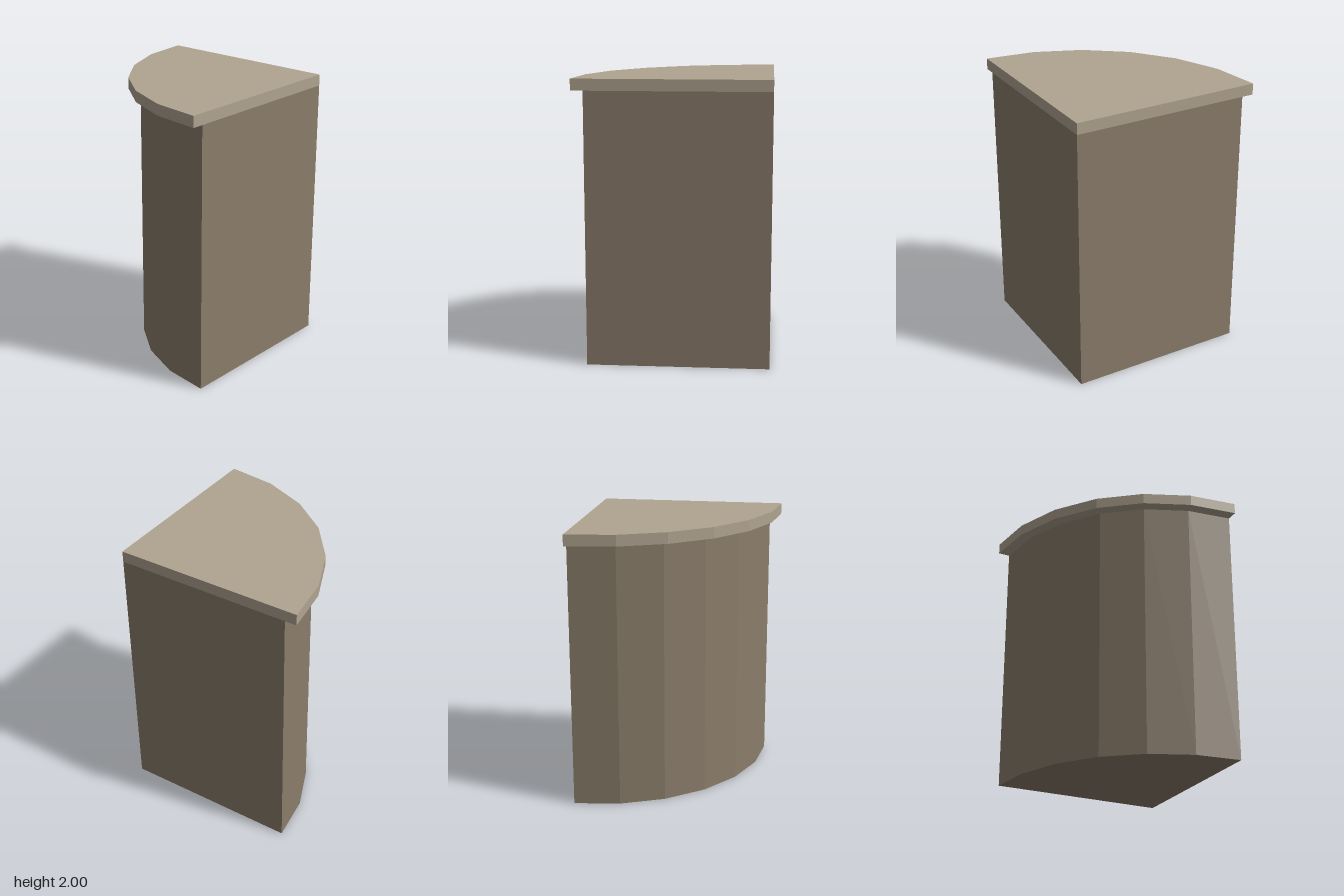
import * as THREE from 'three';

const CORNER = 0.68; // right-angled back corner at x = CORNER, z = -CORNER
const SEGMENTS = 6;

// Upright quarter-round prism: two straight walls and a faceted curved front
function quarterPrism(name, radius, bottom, top, material) {
  const points = [new THREE.Vector2(CORNER, CORNER)];
  for (let i = 0; i <= SEGMENTS; i++) {
    const a = (i / SEGMENTS) * Math.PI / 2;
    points.push(new THREE.Vector2(CORNER - radius * Math.cos(a), CORNER - radius * Math.sin(a)));
  }
  const geometry = new THREE.ExtrudeGeometry(new THREE.Shape(points), {
    depth: top - bottom, bevelEnabled: false,
  });
  geometry.rotateX(-Math.PI / 2);
  geometry.translate(0, bottom, 0);
  const mesh = new THREE.Mesh(geometry, material);
  mesh.name = name;
  return mesh;
}

export function createModel() {
  const bodyBrown = new THREE.MeshStandardMaterial({ color: 0x8b7d6b });
  bodyBrown.name = 'body brown';
  const topTan = new THREE.MeshStandardMaterial({ color: 0xb0a490 });
  topTan.name = 'top tan';

  const model = new THREE.Group();
  model.name = 'cornerCounter';
  // Cabinet body, then the overhanging top
  model.add(quarterPrism('cabinetBody', 1.275, 0, 1.92, bodyBrown));
  model.add(quarterPrism('counterTop', 1.36, 1.92, 2, topTan));
  return model;
}
